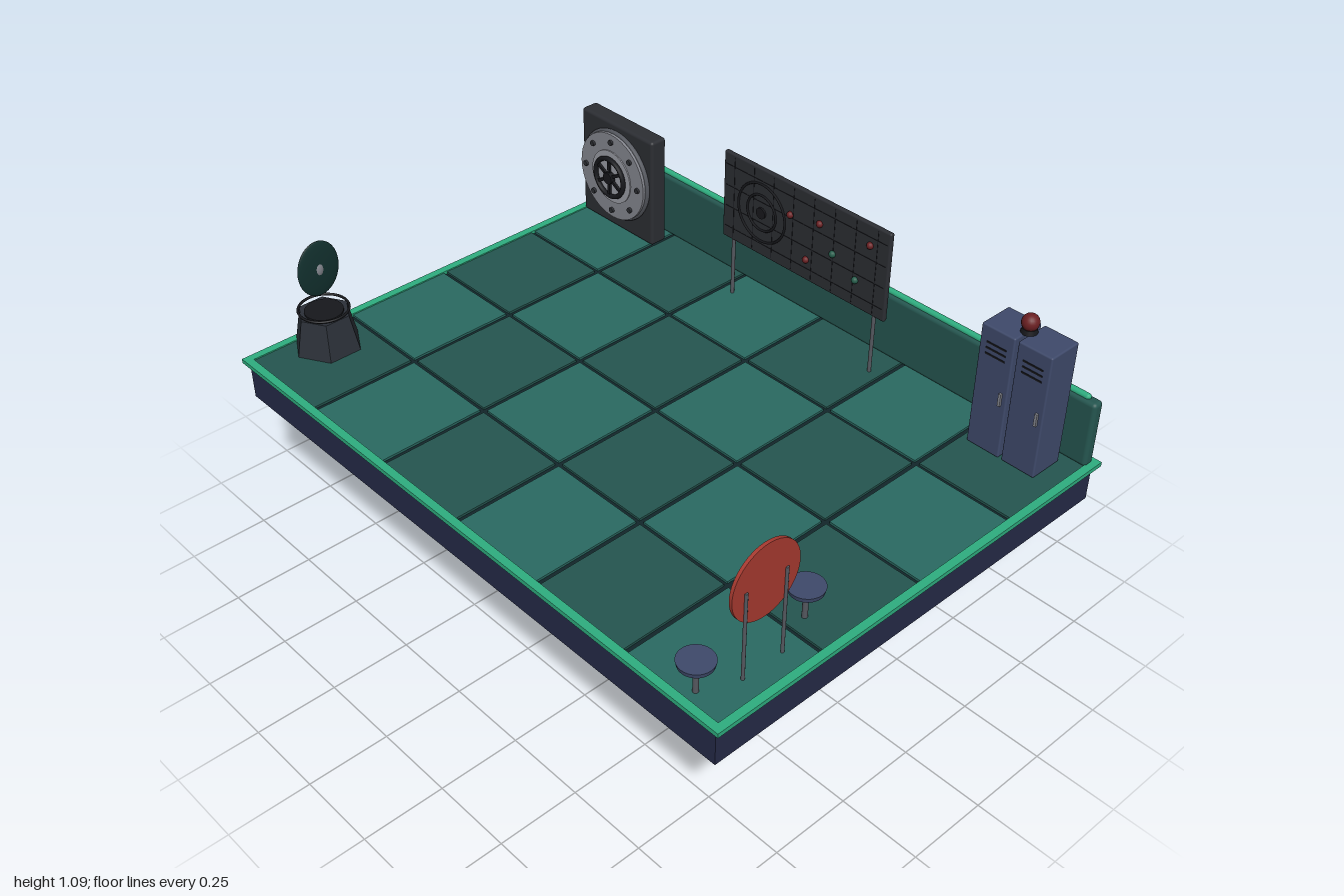
import * as THREE from 'three';
import { RoundedBoxGeometry } from 'three/addons/geometries/RoundedBoxGeometry.js';

const C = {
  slab: 0x252a48, rock: 0x191c30, seam: 0x12262a, tileA: 0x2a6a62, tileB: 0x255650, trim: 0x2fae80,
  wall: 0x255650, dark: 0x2c2e33, black: 0x17181c, steel: 0x85878f, pole: 0x55585f, locker: 0x3f4a6b,
  red: 0xa83a30, white: 0xd8d4cc, bulb: 0x6a1f22, pot: 0x2b3038, glow: 0x12302e, green: 0x245c4a,
};

function add(parent, name, geo, color, x = 0, y = 0, z = 0, flat = false) {
  const mesh = new THREE.Mesh(geo, new THREE.MeshStandardMaterial({ color, flatShading: flat }));
  mesh.name = name;
  mesh.position.set(x, y, z);
  parent.add(mesh);
  return mesh;
}

function group(parent, name, x = 0, y = 0, z = 0) {
  const g = new THREE.Group();
  g.name = name;
  g.position.set(x, y, z);
  parent.add(g);
  return g;
}

const box = (w, h, d) => new THREE.BoxGeometry(w, h, d);
const cyl = (rt, rb, h, n = 32) => new THREE.CylinderGeometry(rt, rb, h, n);
const discZ = (r, h, n = 40) => cyl(r, r, h, n).rotateX(Math.PI / 2);
const discX = (r, h, n = 40) => cyl(r, r, h, n).rotateZ(Math.PI / 2);

// Slab with an inverted rock pyramid and loose shards below
function buildIsland(root) {
  const g = group(root, 'island');
  add(g, 'slab', box(1.96, 0.11, 1.43), C.slab, 0, 0.535, 0);
  const rock = cyl(0.64 * Math.SQRT2, 0.18 * Math.SQRT2, 0.35, 4).rotateY(Math.PI / 4).scale(1, 1, 0.735);
  add(g, 'rock', rock, C.rock, 0, 0.305, 0, true);
  const shards = [ // x, z, top, tip, radius
    [-0.575, -0.315, 0.24, 0.08, 0.085], [-0.48, -0.385, 0.24, 0, 0.085],
    [-0.415, 0.195, 0.24, 0.04, 0.065], [0.04, -0.04, 0.135, 0.075, 0.042],
  ];
  for (const [x, z, top, tip, r] of shards) {
    add(g, 'shard', cyl(r, r * 0.16, top - tip, 6), C.slab, x, (top + tip) / 2, z, true);
  }
}

// Checkered tiles inside a bright rim
function buildFloor(root) {
  const g = group(root, 'floor');
  add(g, 'floorBase', box(1.96, 0.012, 1.42), C.seam, 0, 0.594, 0);
  for (let i = 0; i < 6; i++) {
    for (let j = 0; j < 4; j++) {
      add(g, 'tile', box(0.312, 0.008, 0.345), (i + j) % 2 ? C.tileB : C.tileA,
        (i - 2.5) * 0.328, 0.603, (j - 1.5) * 0.358);
    }
  }
  for (const s of [-1, 1]) {
    add(g, 'rimLong', box(2, 0.014, 0.025), C.trim, 0, 0.604, s * 0.716);
    add(g, 'rimShort', box(0.025, 0.014, 1.457), C.trim, s * 0.9875, 0.604, 0);
  }
}

// Low back wall with a glowing rail
function buildBackWall(root) {
  const g = group(root, 'backWall');
  add(g, 'wall', new RoundedBoxGeometry(1.96, 0.21, 0.038, 3, 0.012), C.wall, 0, 0.71, -0.697);
  add(g, 'rail', new THREE.CapsuleGeometry(0.01, 1.88, 4, 12).rotateZ(Math.PI / 2), C.trim, 0, 0.817, -0.697);
}

// Round vault door with bolts and a spoked wheel
function buildVault(root) {
  const g = group(root, 'vault', -0.81, 0.795, -0.61);
  add(g, 'vaultFrame', new RoundedBoxGeometry(0.33, 0.37, 0.06, 3, 0.01), C.dark);
  const door = group(g, 'vaultDoor', 0, 0.01, 0.03);
  add(door, 'doorRim', new THREE.TorusGeometry(0.148, 0.008, 8, 48), C.pole, 0, 0, 0.005);
  add(door, 'doorDisc', discZ(0.148, 0.024), C.steel, 0, 0, 0.01);
  add(door, 'doorInset', discZ(0.09, 0.006), 0x9b9da5, 0, 0, 0.023);
  add(door, 'wheelRing', new THREE.TorusGeometry(0.065, 0.008, 8, 40), C.black, 0, 0, 0.033);
  add(door, 'wheelHub', discZ(0.02, 0.02, 20), C.black, 0, 0, 0.033);
  for (let i = 0; i < 3; i++) {
    add(door, 'wheelSpoke', box(0.13, 0.01, 0.008), C.black, 0, 0, 0.033).rotation.z = Math.PI / 6 + i * Math.PI / 3;
  }
  for (let i = 0; i < 8; i++) {
    const a = (i / 8) * Math.PI * 2;
    add(door, 'bolt', discZ(0.009, 0.01, 10), C.dark, Math.cos(a) * 0.122, Math.sin(a) * 0.122, 0.025);
  }
}

// Wall map board on two poles
function buildBoard(root) {
  const g = group(root, 'board', 0, 0.945, -0.585);
  add(g, 'panel', new RoundedBoxGeometry(0.65, 0.29, 0.016, 2, 0.006), C.dark);
  for (const s of [-1, 1]) add(g, 'boardPole', cyl(0.006, 0.006, 0.21, 10), C.pole, s * 0.283, -0.235, 0);
  for (let i = 0; i < 8; i++) add(g, 'gridLine', box(0.002, 0.27, 0.002), C.black, -0.28 + i * 0.08, 0, 0.008);
  for (let i = 0; i < 4; i++) add(g, 'gridLine', box(0.63, 0.002, 0.002), C.black, 0, -0.105 + i * 0.07, 0.008);
  for (const r of [0.095, 0.058]) {
    add(g, 'mapRing', new THREE.TorusGeometry(r, 0.004, 6, 40), C.black, -0.165, 0, 0.009);
  }
  add(g, 'mapCentre', discZ(0.018, 0.008, 20), C.black, -0.165, 0, 0.01);
  const pins = [[-0.05, 0.045, C.bulb], [0.065, 0.065, C.bulb], [0.02, -0.075, C.bulb],
    [0.12, -0.01, C.green], [0.21, -0.055, C.green], [0.255, 0.08, C.bulb]];
  for (const [x, y, c] of pins) add(g, 'pin', new THREE.SphereGeometry(0.011, 12, 8), c, x, y, 0.01);
}

// Two lockers with vents, handles and a beacon on top
function buildLockers(root) {
  const g = group(root, 'lockers', 0.8, 0.608, -0.593);
  for (const s of [-1, 1]) {
    const l = group(g, 'locker', s * 0.06, 0, 0);
    add(l, 'lockerBody', new RoundedBoxGeometry(0.11, 0.394, 0.112, 2, 0.005), C.locker, 0, 0.197, 0);
    for (let i = 0; i < 3; i++) add(l, 'vent', box(0.065, 0.005, 0.004), C.black, 0, 0.345 - i * 0.018, 0.056);
    add(l, 'handle', box(0.008, 0.04, 0.01), C.steel, 0.036, 0.19, 0.058);
  }
  add(g, 'beaconBase', cyl(0.02, 0.024, 0.014, 20), C.black, -0.004, 0.4, 0);
  add(g, 'beacon', new THREE.SphereGeometry(0.025, 20, 14), C.bulb, -0.004, 0.424, 0);
}

// Round target facing the room, on two posts
function buildTarget(root) {
  const g = group(root, 'target', 0.907, 0.88, 0.495);
  add(g, 'targetBack', discX(0.112, 0.01, 48), C.red);
  [[0.088, C.white], [0.064, C.black], [0.042, C.white], [0.02, C.red]].forEach(([r, c], i) => {
    add(g, 'targetRing', discX(r, 0.003), c, -0.006 - i * 0.002, 0, 0);
  });
  for (const s of [-1, 1]) add(g, 'targetPost', cyl(0.005, 0.005, 0.275, 10), C.pole, 0.006, -0.135, s * 0.067);
}

// Stool with a round seat
function buildStool(root, z) {
  const g = group(root, 'stool', 0.865, 0.607, z);
  add(g, 'seat', cyl(0.05, 0.047, 0.014), C.locker, 0, 0.097, 0);
  add(g, 'stem', cyl(0.008, 0.008, 0.09, 12), C.pole, 0, 0.045, 0);
}

// Hexagonal projector with a ring and a floating lens
function buildProjector(root) {
  const g = group(root, 'projector', -0.9, 0.607, 0.493);
  add(g, 'pedestal', cyl(0.08, 0.105, 0.115, 6), C.pot, 0, 0.0575, 0, true);
  add(g, 'emitter', cyl(0.058, 0.058, 0.008), C.black, 0, 0.117, 0);
  add(g, 'ring', new THREE.TorusGeometry(0.075, 0.004, 8, 40).rotateX(Math.PI / 2), C.black, 0, 0.126, 0);
  add(g, 'lens', new THREE.SphereGeometry(1, 28, 18).scale(0.01, 0.09, 0.07), C.glow, 0, 0.263, 0);
  add(g, 'lensCore', new THREE.SphereGeometry(1, 16, 12).scale(0.013, 0.028, 0.018), C.steel, 0, 0.263, 0);
}

export function createModel() {
  const root = new THREE.Group();
  root.name = 'trainingPlatform';
  buildIsland(root);
  buildFloor(root);
  buildBackWall(root);
  buildVault(root);
  buildBoard(root);
  buildLockers(root);
  buildTarget(root);
  buildStool(root, 0.3);
  buildStool(root, 0.67);
  buildProjector(root);
  return root;
}
